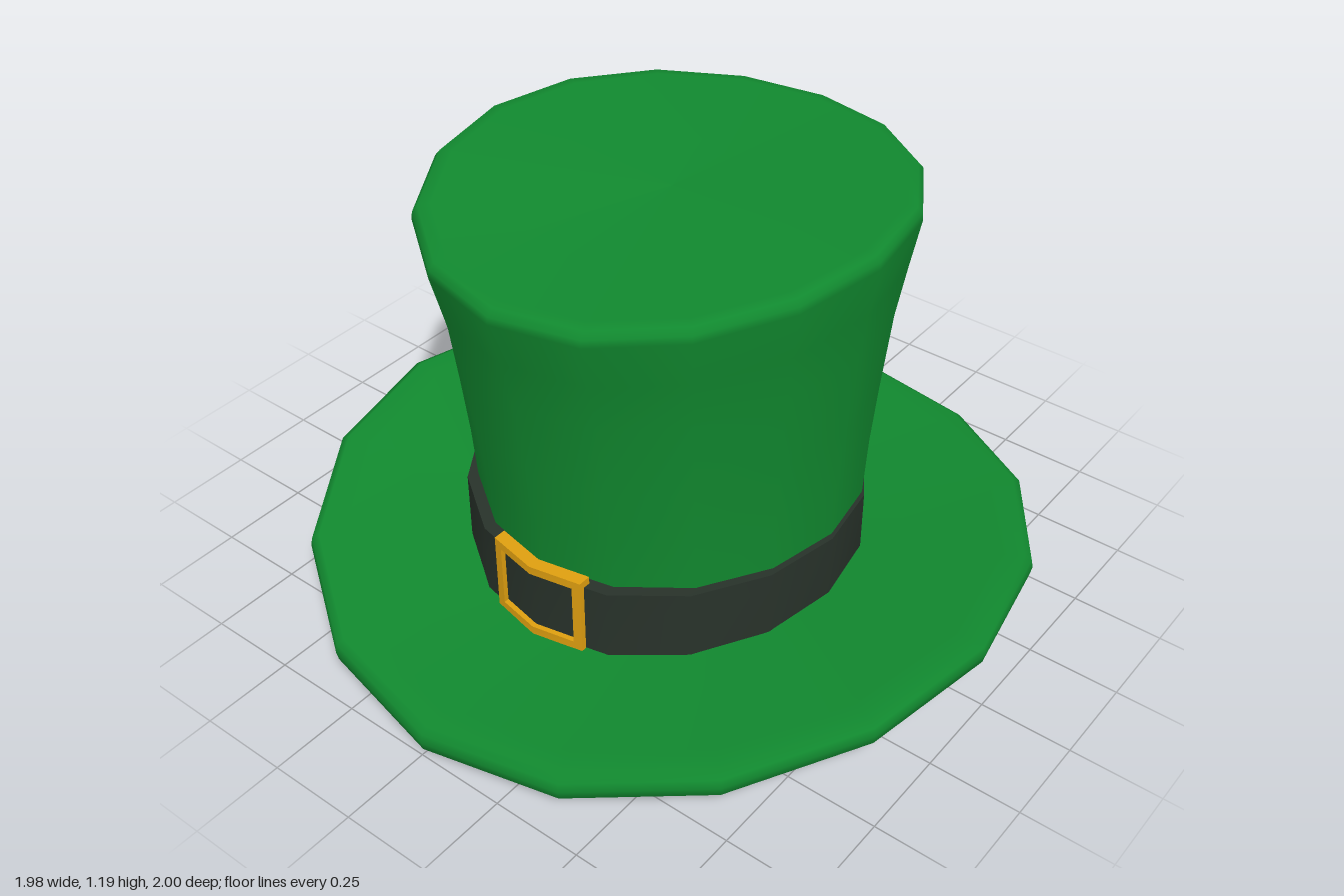
import * as THREE from 'three';

const SIDES = 16;
const green = new THREE.MeshStandardMaterial({ color: 0x11892f });
green.name = 'green felt';
const dark = new THREE.MeshStandardMaterial({ color: 0x28322a });
dark.name = 'dark ribbon';
const gold = new THREE.MeshStandardMaterial({ color: 0xdf9f10 });
gold.name = 'gold';

// The whole hat curls upward towards its left and right sides.
const curl = (x) => 0.13 * x * x;

// Skin through oval rings [rx, rz, y]; a repeated ring makes a hard edge.
function loft(name, material, rings, { zc = 0, tilt = 0 } = {}) {
  const pos = [], index = [];
  rings.forEach(([rx, rz, y]) => {
    for (let i = 0; i < SIDES; i++) {
      const a = (i / SIDES) * Math.PI * 2;
      const x = rx * Math.sin(a), z = zc + rz * Math.cos(a);
      pos.push(x, y + curl(x) + tilt * z, z);
    }
  });
  for (let j = 0; j < rings.length - 1; j++) {
    for (let i = 0; i < SIDES; i++) {
      const k = (i + 1) % SIDES;
      const a = j * SIDES + i, b = j * SIDES + k;
      index.push(a, b, b + SIDES, a, b + SIDES, a + SIDES);
    }
  }
  const geo = new THREE.BufferGeometry();
  geo.setAttribute('position', new THREE.Float32BufferAttribute(pos, 3));
  geo.setIndex(index);
  geo.computeVertexNormals();
  const mesh = new THREE.Mesh(geo, material);
  mesh.name = name;
  return mesh;
}

// Buckle bar, folded at x = 0 to follow the band.
function buckleBar(name, w, h, x, y) {
  const geo = new THREE.BoxGeometry(w, h, 0.036, 2, 1, 1).translate(x, y, 0.566);
  const p = geo.attributes.position;
  for (let i = 0; i < p.count; i++) p.setZ(i, p.getZ(i) - 0.2 * Math.abs(p.getX(i)));
  geo.computeVertexNormals();
  const mesh = new THREE.Mesh(geo, gold);
  mesh.name = name;
  return mesh;
}

export function createModel() {
  const hat = new THREE.Group();
  hat.name = 'topHat';

  // Brim: hole wall, underside, rounded rim, top side
  hat.add(loft('brim', green, [
    [0.51, 0.51, 0.11], [0.53, 0.53, 0.01], [0.53, 0.53, 0.01],
    [0.9, 0.905, 0.004], [0.965, 0.975, 0.004], [0.985, 0.995, 0.02],
    [0.99, 1.0, 0.045], [0.985, 0.995, 0.07], [0.965, 0.975, 0.084],
    [0.9, 0.905, 0.09], [0.5, 0.5, 0.1],
  ]));

  // Flared crown with a softened top edge and a shallow cap
  hat.add(loft('crown', green, [
    [0.51, 0.52, 0.09], [0.52, 0.53, 0.27], [0.527, 0.548, 0.45],
    [0.54, 0.57, 0.62], [0.56, 0.602, 0.84], [0.582, 0.635, 0.98],
    [0.604, 0.67, 1.11], [0.602, 0.667, 1.13], [0.59, 0.652, 1.147],
    [0.56, 0.62, 1.152], [0, 0, 1.165],
  ]));

  // Ribbon band, a little higher at the front
  hat.add(loft('band', dark, [
    [0.535, 0.552, 0.08], [0.535, 0.552, 0.285],
    [0.535, 0.552, 0.285], [0.5, 0.5, 0.287],
  ], { zc: 0.018, tilt: 0.036 }));

  // Lining seen through the opening
  hat.add(loft('lining', dark, [
    [0, 0, 0.26], [0.33, 0.33, 0.26], [0.33, 0.33, 0.26], [0.515, 0.515, 0.09],
  ]));

  // Square buckle frame
  const buckle = new THREE.Group();
  buckle.name = 'buckle';
  buckle.add(buckleBar('buckleTop', 0.286, 0.024, 0, 0.318));
  buckle.add(buckleBar('buckleBottom', 0.286, 0.024, 0, 0.112));
  for (const s of [-1, 1]) {
    buckle.add(buckleBar(s > 0 ? 'buckleLeft' : 'buckleRight', 0.024, 0.19, s * 0.131, 0.215));
  }
  hat.add(buckle);
  return hat;
}
